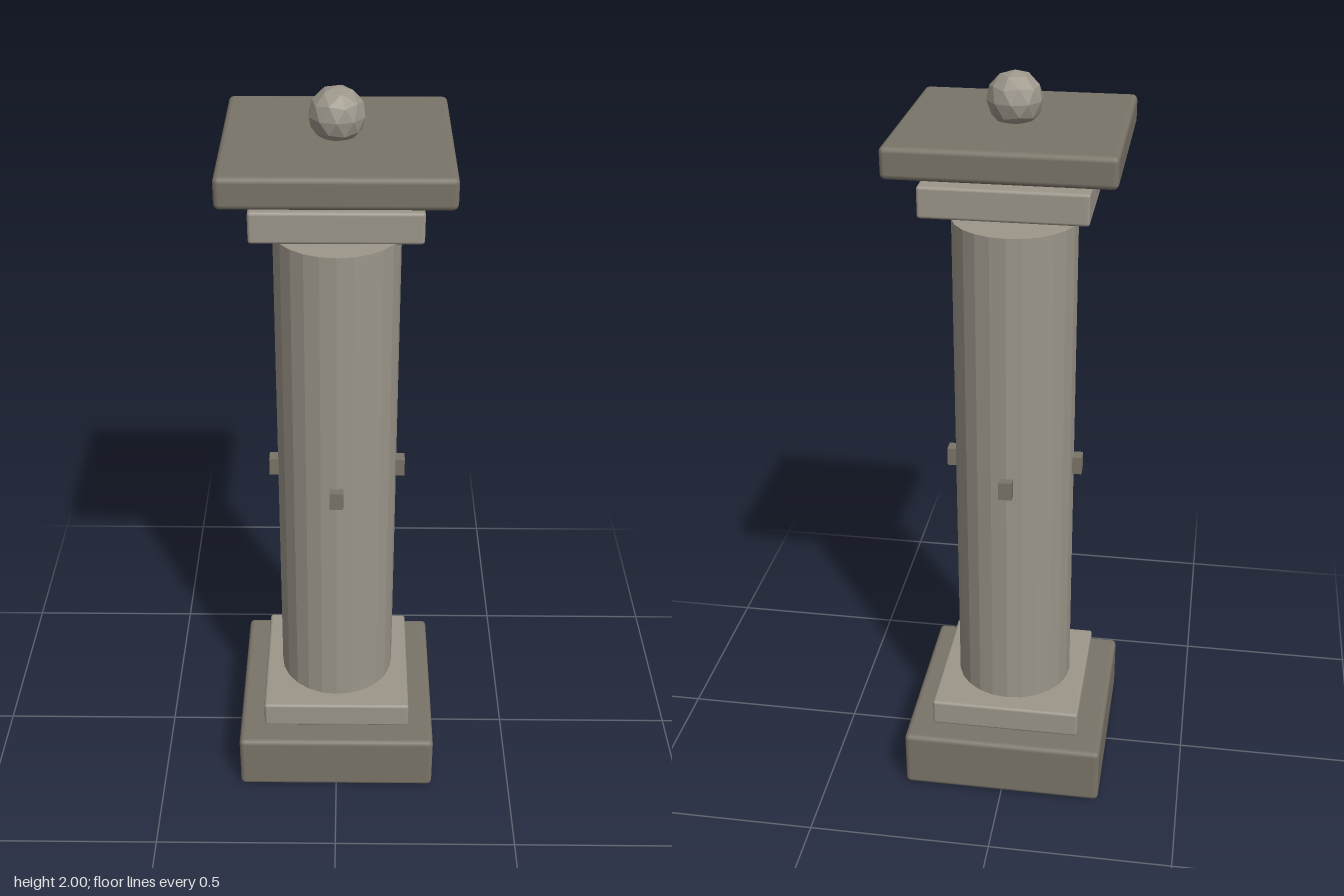
import * as THREE from 'three';
import { RoundedBoxGeometry } from 'three/addons/geometries/RoundedBoxGeometry.js';

export function createModel() {
  const column = new THREE.Group();
  column.name = 'column';
  const darkStone = new THREE.MeshStandardMaterial({ color: 0x7a7468 });
  const lightStone = new THREE.MeshStandardMaterial({ color: 0x9c968a });
  const flatLightStone = new THREE.MeshStandardMaterial({ color: 0x9c968a, flatShading: true });

  function add(name, geometry, material) {
    const mesh = new THREE.Mesh(geometry, material);
    mesh.name = name;
    column.add(mesh);
    return mesh;
  }

  // Square slab with softened edges, spanning two heights
  function slab(name, width, bottom, top, bevel, material) {
    const geometry = new RoundedBoxGeometry(width, top - bottom, width, 2, bevel);
    add(name, geometry, material).position.y = (bottom + top) / 2;
  }

  // Stepped foot
  slab('base', 0.555, 0, 0.167, 0.014, darkStone);
  slab('plinth', 0.415, 0.167, 0.243, 0.008, lightStone);

  // Faceted round shaft
  const bottom = 0.248, top = 1.632;
  add('shaft', new THREE.CylinderGeometry(0.161, 0.161, top - bottom, 24), flatLightStone)
    .position.y = (bottom + top) / 2;

  // Floating slabs of the head
  slab('capital', 0.415, 1.688, 1.768, 0.008, lightStone);
  slab('topSlab', 0.555, 1.802, 1.881, 0.014, darkStone);

  // Four small studs around the middle of the shaft
  for (let i = 0; i < 4; i++) {
    const angle = (i * Math.PI) / 2;
    const stud = add('stud', new THREE.BoxGeometry(0.036, 0.05, 0.036), darkStone);
    stud.position.set(Math.sin(angle) * 0.166, 0.94, Math.cos(angle) * 0.166);
    stud.rotation.y = angle;
  }

  // Faceted ball, turned so that a five-sided corner points up
  const ball = new THREE.IcosahedronGeometry(0.07, 1);
  ball.rotateX(-Math.atan((1 + Math.sqrt(5)) / 2));
  ball.rotateY(Math.PI / 2);
  add('finialBall', ball, flatLightStone).position.y = 1.93;

  return column;
}
